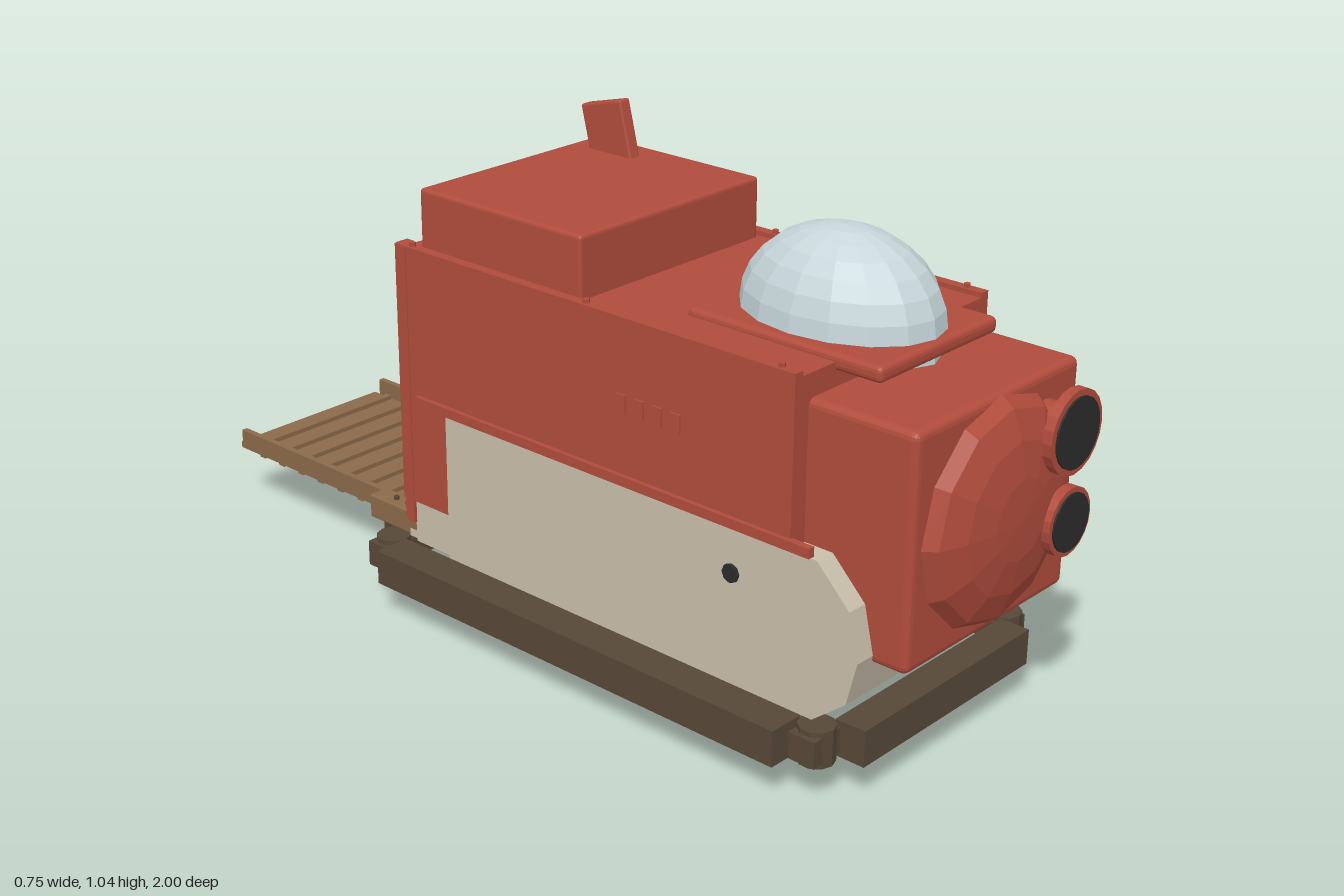
import * as THREE from 'three';
import { RoundedBoxGeometry } from 'three/addons/geometries/RoundedBoxGeometry.js';

export function createModel() {
  const model = new THREE.Group();
  const mat = (name, color, flatShading = false) => {
    const m = new THREE.MeshStandardMaterial({ color, flatShading });
    m.name = name;
    return m;
  };
  const red = mat('redPaint', 0xb04c3c, true);
  const beige = mat('beigePanel', 0xc9beab, true);
  const dark = mat('darkBrown', 0x574838, true);
  const tan = mat('tanMetal', 0x8b6a4a, true);
  const black = mat('black', 0x2b2b2b, true);
  const glass = mat('paleGlass', 0xc6d6da, true);

  const add = (name, geo, material, x = 0, y = 0, z = 0) => {
    const m = new THREE.Mesh(geo, material);
    m.name = name;
    m.position.set(x, y, z);
    model.add(m);
    return m;
  };
  // Box given by its limits on each axis; a radius rounds the edges
  const box = (name, material, [x0, x1], [y0, y1], [z0, z1], r = 0) => {
    const s = [x1 - x0, y1 - y0, z1 - z0];
    const geo = r ? new RoundedBoxGeometry(...s, 2, r) : new THREE.BoxGeometry(...s);
    return add(name, geo, material, (x0 + x1) / 2, (y0 + y1) / 2, (z0 + z1) / 2);
  };
  // The same box on both sides
  const pair = (name, material, [x0, x1], y, z, r = 0) => {
    box(name + 'Left', material, [x0, x1], y, z, r);
    box(name + 'Right', material, [-x1, -x0], y, z, r);
  };
  // Side profile of (z, y) points extruded across x
  const profile = (pts, x0, x1) => {
    const shape = new THREE.Shape(pts.map(p => new THREE.Vector2(...p)));
    const g = new THREE.ExtrudeGeometry(shape, { depth: x1 - x0, bevelEnabled: false });
    return g.rotateY(-Math.PI / 2).translate(x1, 0, 0);
  };

  // Lower hull: floor with an upturned nose, and side panels
  const nose = [[0.755, 0.155], [0.83, 0.215], [0.852, 0.305], [0.83, 0.4], [0.755, 0.475]];
  const inner = [[0.69, 0.46], [0.74, 0.455], [0.81, 0.39], [0.83, 0.305], [0.81, 0.225], [0.745, 0.172]];
  add('hullFloor', profile([[-0.34, 0.155], ...nose, [0.69, 0.475], ...inner, [-0.34, 0.172]], -0.277, 0.277), beige);
  const panel = [[-0.2, 0.155], ...nose, [-0.2, 0.475]];
  add('sidePanelLeft', profile(panel, 0.275, 0.295), beige);
  add('sidePanelRight', profile(panel, -0.295, -0.275), beige);
  pair('rearSill', beige, [0.265, 0.285], [0.155, 0.25], [-0.31, -0.2]);
  for (const s of [-1, 1]) {
    const cap = add('panelPort', new THREE.CylinderGeometry(0.019, 0.019, 0.008, 8), black, s * 0.297, 0.385, 0.56);
    cap.rotation.z = Math.PI / 2;
  }

  // Upper body: open at the rear
  pair('upperWall', red, [0.268, 0.29], [0.46, 0.81], [-0.34, 0.69]);
  pair('rearWall', red, [0.268, 0.29], [0.25, 0.47], [-0.34, -0.2]);
  pair('beltTrim', red, [0.285, 0.3], [0.475, 0.495], [-0.285, 0.74]);
  box('roof', red, [-0.27, 0.27], [0.775, 0.8], [-0.335, 0.69]);
  box('frontBulkhead', red, [-0.27, 0.27], [0.172, 0.79], [0.66, 0.69]);
  pair('bench', tan, [0.2, 0.275], [0.255, 0.285], [-0.18, 0.45]);
  for (const s of [-1, 1]) {
    for (let i = 0; i < 4; i++) {
      const x = s * 0.291;
      box('sideVent', red, [x - 0.003, x + 0.003], [0.62, 0.658], [0.27 + i * 0.045, 0.293 + i * 0.045]);
    }
    for (const z of [-0.3, 0.18, 0.65])
      add('roofBolt', new THREE.CylinderGeometry(0.007, 0.007, 0.01, 6), red, s * 0.278, 0.813, z);
  }

  // Rear door frame
  pair('outerPost', red, [0.262, 0.292], [0.2, 0.808], [-0.328, -0.308]);
  pair('innerPost', red, [0.25, 0.28], [0.2, 0.808], [-0.347, -0.325]);
  box('lintel', red, [-0.28, 0.28], [0.765, 0.795], [-0.345, -0.315]);

  // Raised roof box and slanted stack
  box('roofBox', red, [-0.26, 0.26], [0.79, 0.928], [-0.295, 0.148], 0.008);
  const stack = add('stack', new RoundedBoxGeometry(0.03, 0.14, 0.115, 2, 0.005), red, 0.188, 0.965, -0.193);
  stack.rotation.x = -0.25;

  // Glazed dome on its hatch frame
  box('domeFrame', red, [-0.178, 0.178], [0.782, 0.815], [0.34, 0.79], 0.012);
  add('domeCollar', new THREE.CylinderGeometry(1, 1, 0.04, 14), glass, 0, 0.787, 0.565).scale.set(0.122, 1, 0.212);
  const dome = new THREE.SphereGeometry(1, 16, 7, 0, Math.PI * 2, 0, Math.PI / 2);
  add('dome', dome, glass, 0, 0.812, 0.565).scale.set(0.157, 0.173, 0.212);

  // Front block with faceted boss and two lamps
  box('frontBlock', red, [-0.25, 0.25], [0.287, 0.752], [0.675, 0.924], 0.015);
  const bossPts = [[0.226, 0], [0.205, 0.026], [0.15, 0.048], [0.08, 0.06], [0, 0.063]];
  const boss = new THREE.LatheGeometry(bossPts.map(p => new THREE.Vector2(...p)), 12);
  add('frontBoss', boss, red, 0, 0.525, 0.922).rotation.x = Math.PI / 2;
  for (const [y, r, rim] of [[0.655, 0.07, 0.083], [0.478, 0.058, 0.068]]) {
    const disc = (name, radius, material, z0, z1) => {
      const g = new THREE.CylinderGeometry(radius, radius, z1 - z0, 20);
      add(name, g, material, 0.138, y, (z0 + z1) / 2).rotation.x = Math.PI / 2;
    };
    disc('lampSocket', 0.045, red, 0.925, 0.98);
    disc('lampRim', rim, red, 0.976, 0.996);
    disc('lampLens', r, black, 0.99, 1.0);
  }

  // Skirt bars joined by corner posts
  const skirtY = [0.08, 0.155];
  pair('skirtSide', dark, [0.295, 0.375], skirtY, [-0.335, 0.73]);
  box('skirtFront', dark, [-0.262, 0.262], skirtY, [0.785, 0.852]);
  box('skirtRear', dark, [-0.262, 0.262], skirtY, [-0.44, -0.37]);
  for (const x of [-0.297, 0.297]) {
    for (const z of [-0.37, 0.77]) {
      add('skirtCorner', new THREE.CylinderGeometry(0.037, 0.037, 0.075, 10), dark, x, 0.1175, z);
      box('skirtLink', dark, [x - 0.045, x + 0.03], [0.09, 0.145], [z - 0.03, z + 0.03]);
    }
  }

  // Rear ramp: deck, rails, cleats and hinges
  box('rampDeck', tan, [-0.205, 0.205], [0.137, 0.152], [-1, -0.345]);
  pair('rampRail', tan, [0.203, 0.217], [0.148, 0.19], [-0.98, -0.35]);
  for (let i = 0; i < 9; i++) {
    const z = -0.4 - i * 0.068;
    box('rampCleat', tan, [-0.2, 0.2], [0.15, 0.162], [z - 0.009, z + 0.009]);
    box('rampRib', tan, [-0.19, 0.19], [0.122, 0.14], [z - 0.009, z + 0.009]);
  }
  pair('hingeArm', tan, [0.232, 0.276], [0.157, 0.21], [-0.468, -0.27], 0.004);
  for (const s of [-1, 1]) {
    const pin = add('hingePin', new THREE.CylinderGeometry(0.017, 0.017, 0.07, 8), black, s * 0.195, 0.198, -0.364);
    pin.rotation.z = Math.PI / 2;
    for (let i = 0; i < 4; i++)
      add('hingeStud', new THREE.CylinderGeometry(0.006, 0.006, 0.01, 6), dark, s * 0.254, 0.213, -0.295 - i * 0.037);
  }

  // Underside: keel plate, shallow bowl and rear pad
  box('keelPlate', tan, [-0.105, 0.105], [0.085, 0.157], [-0.33, 0.49]);
  box('bowlMount', tan, [-0.04, 0.04], [0.062, 0.09], [-0.26, 0.04]);
  const bowlPts = [[0, 0], [0.09, 0.006], [0.14, 0.022], [0.165, 0.045], [0.165, 0.066], [0, 0.074]];
  const bowl = new THREE.LatheGeometry(bowlPts.map(p => new THREE.Vector2(...p)), 16);
  add('bowl', bowl, tan, 0, 0.005, -0.135).scale.z = 0.82;
  box('rearPad', black, [-0.075, 0.075], [0.03, 0.075], [-0.292, -0.25], 0.012);

  return model;
}
